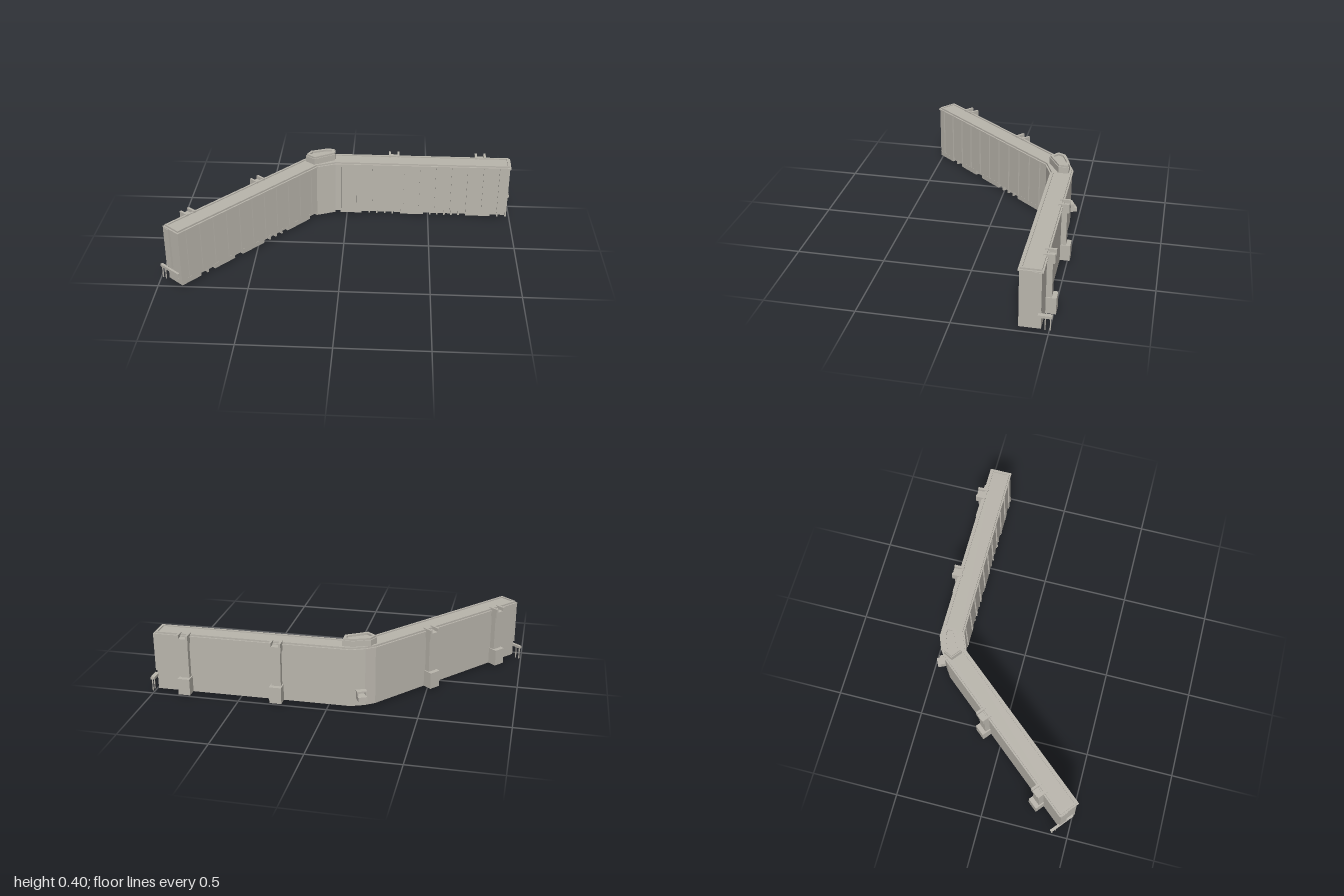
import * as THREE from 'three';

const concrete = new THREE.MeshStandardMaterial({ color: 0xbab6ad, side: THREE.DoubleSide });
concrete.name = 'concrete';

// Plan of the bent block as [x, z], front edge first, then the rear edge
const PLAN = [[0.98, -0.345], [-0.07, -0.345], [-0.18, -0.3], [-0.86, 0.51],
  [-0.947, 0.437], [-0.25, -0.395], [-0.2, -0.43], [-0.125, -0.46], [0.98, -0.46]];
const PENTHOUSE = [[-0.075, -0.445], [-0.075, -0.385], [-0.195, -0.315], [-0.25, -0.36],
  [-0.225, -0.41], [-0.135, -0.445]];

// Move every side of a plan outwards by d
function grow(points, d) {
  const n = points.length;
  const area = points.reduce((a, p, i) => {
    const q = points[(i + 1) % n];
    return a + p[0] * q[1] - q[0] * p[1];
  }, 0);
  const sign = Math.sign(area);
  const normal = (p, q) => {
    const l = Math.hypot(q[0] - p[0], q[1] - p[1]);
    return [sign * (q[1] - p[1]) / l, -sign * (q[0] - p[0]) / l];
  };
  return points.map((p, i) => {
    const a = normal(points[(i + n - 1) % n], p);
    const b = normal(p, points[(i + 1) % n]);
    const k = d / (1 + a[0] * b[0] + a[1] * b[1]);
    return [p[0] + (a[0] + b[0]) * k, p[1] + (a[1] + b[1]) * k];
  });
}

function add(parent, name, geometry) {
  const mesh = new THREE.Mesh(geometry, concrete);
  mesh.name = name;
  parent.add(mesh);
  return mesh;
}

// Vertical prism over a plan, optionally hollow
function prism(parent, name, points, y0, y1, hole) {
  const v = (list) => list.map(([x, z]) => new THREE.Vector2(x, -z));
  const shape = new THREE.Shape(v(points));
  if (hole) shape.holes.push(new THREE.Path(v(hole)));
  const g = new THREE.ExtrudeGeometry(shape, { depth: y1 - y0, bevelEnabled: false });
  g.rotateX(-Math.PI / 2).translate(0, y0, 0);
  return add(parent, name, g);
}

// Box given by its limits
function box(parent, name, x0, x1, y0, y1, z0, z1) {
  const g = new THREE.BoxGeometry(Math.abs(x1 - x0), y1 - y0, z1 - z0);
  g.translate((x0 + x1) / 2, (y0 + y1) / 2, (z0 + z1) / 2);
  return add(parent, name, g);
}

const HALF = 0.0575;

// Details of one wing: u runs from the bend to the end, s sets its direction in x
function wing(name, s, o) {
  const g = new THREE.Group();
  g.name = name;
  const b = (part, u0, u1, y0, y1, z0, z1) => box(g, part, s * u0, s * u1, y0, y1, z0, z1);

  // Thin facade fins
  for (let i = 0; i < 11; i++) {
    const fin = add(g, 'facadeFin', new THREE.PlaneGeometry(0.009, 0.3));
    fin.rotation.y = Math.PI / 2;
    fin.position.set(s * (o.fin + i * 0.0955), 0.195, HALF + 0.0035);
  }

  // Plinth blocks between the ground-floor openings, with piers inside them
  let u = o.start;
  for (const [a, c, bays] of [...o.openings, [o.end, o.end, 0]]) {
    if (a - u > 0.001) b('plinthBlock', u, a, 0.015, 0.046, HALF - 0.021, HALF);
    for (let i = 1; i < bays; i++) {
      const p = a + (c - a) * i / bays;
      b('plinthPier', p - 0.005, p + 0.005, 0.015, 0.046, HALF - 0.021, HALF);
    }
    u = c;
  }

  // Rear stair towers
  for (const t of o.towers) {
    b('towerBase', t - 0.034, t + 0.034, 0.015, 0.11, -HALF - 0.055, -HALF + 0.01);
    b('towerShaft', t - 0.027, t + 0.027, 0.11, 0.325, -HALF - 0.03, -HALF + 0.01);
    b('towerHead', t - 0.033, t + 0.033, 0.312, 0.345, -HALF - 0.042, -HALF + 0.01);
    for (const e of [-1, 1]) {
      b('towerCheek', t + e * 0.02, t + e * 0.033, 0.345, 0.365, -HALF - 0.042, -HALF + 0.018);
    }
  }

  // End wall panel and landing on posts
  b('endPanel', o.end - 0.005, o.end + 0.01, o.panelY, 0.345, -HALF, -0.0125);
  b('landing', o.end - 0.003, o.landingEnd, o.landingY, o.landingY + 0.015, -0.115, o.landingFront);
  for (const z of [-0.106, -0.08]) {
    b('landingPost', o.landingEnd - 0.009, o.landingEnd - 0.004, o.landingY - 0.07,
      o.landingY, z - 0.0025, z + 0.0025);
  }
  return g;
}

export function createModel() {
  const model = new THREE.Group();
  model.name = 'bentBuilding';

  // Main walls over a plinth that is set back along the front
  prism(model, 'walls', PLAN, 0.045, 0.345);
  prism(model, 'plinth', [[0.98, -0.365], [-0.075, -0.365], [-0.192, -0.318], [-0.876, 0.497],
    ...PLAN.slice(4)], 0.015, 0.045);
  prism(model, 'cornerPlinth', [[-0.07, -0.345], [-0.18, -0.3], [-0.192, -0.318],
    [-0.075, -0.365]], 0.015, 0.045);

  // Cornice, roof deck and parapet
  prism(model, 'cornice', grow(PLAN, 0.007), 0.343, 0.35);
  prism(model, 'roofDeck', grow(PLAN, -0.012), 0.349, 0.354);
  prism(model, 'parapet', grow(PLAN, -0.002), 0.35, 0.36, grow(PLAN, -0.014));

  // Penthouse at the bend
  prism(model, 'penthouse', PENTHOUSE, 0.35, 0.392);
  prism(model, 'penthouseRim', grow(PENTHOUSE, -0.005), 0.392, 0.403, grow(PENTHOUSE, -0.02));

  // Raised porch at the outer corner
  const porch = new THREE.Group();
  porch.name = 'cornerPorch';
  porch.position.set(-0.178, 0, -0.44);
  porch.rotation.y = 0.435;
  box(porch, 'porchBlock', -0.025, 0.025, 0.06, 0.085, -0.047, 0.02);
  box(porch, 'porchRoof', -0.028, 0.028, 0.105, 0.112, -0.03, 0.02);
  for (const x of [-0.025, 0.02]) {
    box(porch, 'porchSide', x, x + 0.005, 0.085, 0.105, -0.03, 0.02);
  }
  model.add(porch);

  // Straight wing
  const left = wing('leftWing', 1, {
    start: -0.07, end: 0.98, fin: -0.035, towers: [0.283, 0.808], panelY: 0.125,
    openings: [[-0.07, -0.04, 1], [0.09, 0.33, 5], [0.47, 0.73, 6], [0.88, 0.97, 2]],
    landingY: 0.092, landingEnd: 1, landingFront: -0.0425,
  });
  left.position.set(0, 0, -0.4025);

  // Angled wing
  const right = wing('rightWing', -1, {
    start: -0.114, end: 0.944, fin: -0.062, towers: [0.25, 0.77], panelY: 0.1,
    openings: [[-0.11, -0.05, 1], [0.14, 0.33, 4], [0.5, 0.56, 1], [0.71, 0.81, 2]],
    landingY: 0.07, landingEnd: 0.956, landingFront: 0.039,
  });
  right.position.set(-0.297, 0, -0.2495);
  right.rotation.y = THREE.MathUtils.degToRad(50);

  model.add(left, right);
  return model;
}
